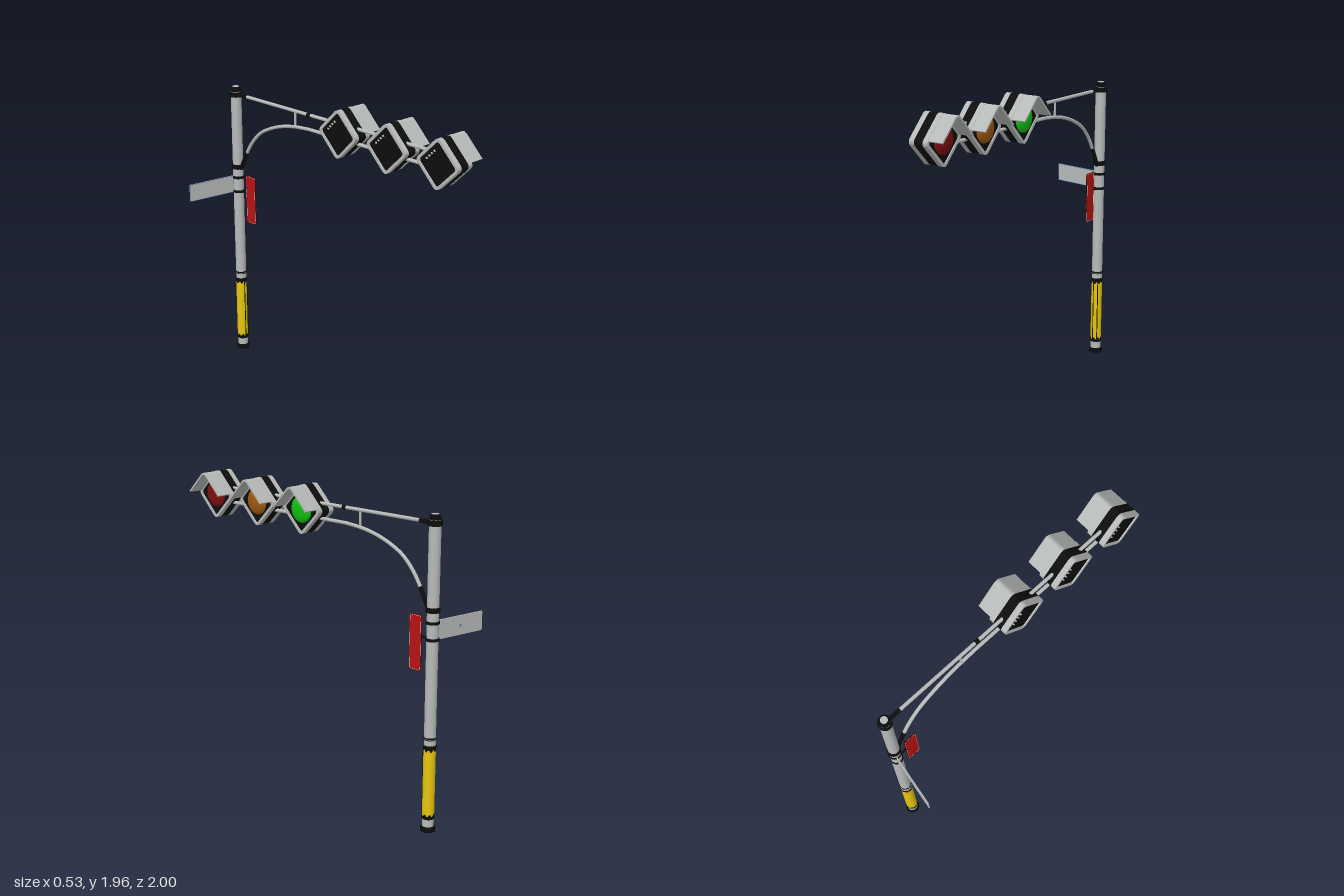
import * as THREE from 'three';

const mat = (name, hex) => {
  const m = new THREE.MeshStandardMaterial({ color: hex });
  m.name = name;
  return m;
};

const PX = 0.1, PZ = -0.93; // pole axis

export function createModel() {
  const grey = mat('light grey', 0xb6bab8), black = mat('black', 0x0c0d0c);
  const yellow = mat('yellow', 0xe6c60e), signRed = mat('sign red', 0xb81212);
  const white = mat('white', 0xe4e4e4), blue = mat('blue', 0x5a78b8);
  const redLens = mat('red lens', 0x801010), amberLens = mat('amber lens', 0xa05a10);
  const greenLens = mat('green lens', 0x12c412);

  const root = new THREE.Group();
  root.name = 'trafficSignal';
  const add = (parent, name, geo, material, x = 0, y = 0, z = 0) => {
    const m = new THREE.Mesh(geo, material);
    m.name = name;
    m.position.set(x, y, z);
    parent.add(m);
    return m;
  };

  // ---- Pole: stacked cylinders ----
  const pole = new THREE.Group();
  pole.name = 'pole';
  pole.position.set(PX, 0, PZ);
  root.add(pole);
  const ring = (name, y0, y1, r, material, rTop = r) =>
    add(pole, name, new THREE.CylinderGeometry(rTop, r, y1 - y0, 32), material, 0, (y0 + y1) / 2, 0);
  ring('poleShaft', 0.002, 1.87, 0.035, grey);
  ring('baseCollar', 0, 0.022, 0.045, black);
  ring('baseCollarTop', 0.022, 0.032, 0.045, black, 0.039);
  ring('poleFoot', -0.0005, 0.002, 0.033, grey);
  ring('yellowWrap', 0.1, 0.525, 0.0365, yellow);
  ring('thinBandLower', 0.576, 0.581, 0.0365, black);
  ring('thinBandUpper', 0.584, 0.592, 0.0365, black);
  ring('signClampLower', 1.173, 1.19, 0.04, black);
  ring('signClampUpper', 1.272, 1.289, 0.04, black);
  ring('armClampLower', 1.34, 1.37, 0.042, black);
  ring('armClampUpper', 1.835, 1.868, 0.042, black);
  ring('topCap', 1.868, 1.89, 0.035, black, 0.033);
  ring('topCapRim', 1.89, 1.9, 0.033, black, 0.027);
  ring('topDisc', 1.9, 1.902, 0.022, grey);

  // zigzag-edged bands at both ends of the yellow wrap
  const zigzag = (y0, y1, side) => {
    const g = new THREE.CylinderGeometry(0.038, 0.038, y1 - y0, 48, 1, true);
    const p = g.attributes.position;
    for (let i = 0; i < p.count; i++) {
      if (Math.sign(p.getY(i)) === side && (i % 49) % 6 < 3) p.setY(i, p.getY(i) + side * 0.012);
    }
    const band = add(pole, 'zigzagBand', g, black, 0, (y0 + y1) / 2, 0);
    return band;
  };
  zigzag(0.08, 0.1, 1);
  zigzag(0.518, 0.545, -1);
  for (const dx of [-0.004, 0.024]) {
    add(pole, 'wrapSeam', new THREE.BoxGeometry(0.005, 0.42, 0.004), black,
      dx, 0.31, Math.sqrt(0.0365 ** 2 - dx * dx));
  }

  // ---- Arm: straight upper tube, curved lower tube ----
  const v = (z, y) => new THREE.Vector3(PX, y, z);
  const rod = (name, a, b, r, material) => {
    const m = add(root, name, new THREE.CylinderGeometry(r, r, a.distanceTo(b), 16), material);
    m.position.copy(a).add(b).multiplyScalar(0.5);
    m.quaternion.setFromUnitVectors(new THREE.Vector3(0, 1, 0), b.clone().sub(a).normalize());
  };
  rod('upperArm', v(PZ, 1.85), v(0.85, 1.85), 0.011, grey);
  rod('upperArmSocket', v(-0.9, 1.85), v(-0.82, 1.85), 0.013, black);
  rod('upperArmJoint', v(-0.255, 1.85), v(-0.227, 1.85), 0.0135, black);
  rod('armStrut', v(-0.367, 1.75), v(-0.367, 1.85), 0.007, grey);
  rod('lowerArm', v(-0.25, 1.757), v(0.85, 1.757), 0.011, grey);
  const bend = new THREE.CatmullRomCurve3([
    v(-0.25, 1.757), v(-0.38, 1.745), v(-0.5, 1.72), v(-0.61, 1.68),
    v(-0.7, 1.63), v(-0.78, 1.55), v(-0.835, 1.465), v(-0.865, 1.405)]);
  add(root, 'lowerArmBend', new THREE.TubeGeometry(bend, 48, 0.011, 16), grey);
  rod('lowerArmSocket', v(-0.832, 1.47), v(-0.902, 1.34), 0.0135, black);

  // ---- Signal heads: diamond housings facing local +z ----
  const diamond = (h, t, Type = THREE.Shape) => {
    const s = new Type(), k = t / Math.SQRT2;
    const c = [[0, h], [-h, 0], [0, -h], [h, 0]];
    c.forEach(([x, y], i) => {
      const [px, py] = c[(i + 3) % 4], [nx, ny] = c[(i + 1) % 4];
      const f = k / h;
      const ax = x + (px - x) * f, ay = y + (py - y) * f;
      if (i === 0) s.moveTo(ax, ay); else s.lineTo(ax, ay);
      s.quadraticCurveTo(x, y, x + (nx - x) * f, y + (ny - y) * f);
    });
    s.closePath();
    return s;
  };
  const extrude = (shape, z0, z1) => {
    const g = new THREE.ExtrudeGeometry(shape, { depth: z1 - z0, bevelEnabled: false, curveSegments: 8 });
    return g.translate(0, 0, z0);
  };
  const frameShape = diamond(0.1625, 0.035);
  frameShape.holes.push(diamond(0.138, 0.02, THREE.Path));
  const frontFrame = extrude(frameShape, 0.03, 0.063);
  const backFrame = extrude(frameShape, -0.065, -0.03);
  const body = extrude(diamond(0.1615, 0.035), -0.03, 0.03);
  const core = extrude(diamond(0.139, 0.02), -0.056, 0.056);

  // visor: inverted V with a rounded ridge
  const visorShape = new THREE.Shape();
  visorShape.moveTo(0.143, 0.017);
  visorShape.lineTo(0.025, 0.135);
  visorShape.quadraticCurveTo(0, 0.16, -0.025, 0.135);
  visorShape.lineTo(-0.143, 0.017);
  visorShape.lineTo(-0.135, 0.01);
  visorShape.lineTo(-0.02, 0.125);
  visorShape.quadraticCurveTo(0, 0.145, 0.02, 0.125);
  visorShape.lineTo(0.135, 0.01);
  visorShape.closePath();
  const visor = extrude(visorShape, 0.06, 0.16);
  const lens = new THREE.SphereGeometry(0.083, 40, 12, 0, Math.PI * 2, 0, Math.PI / 2)
    .scale(1, 0.36, 1).rotateX(Math.PI / 2);

  [[0.85, redLens], [0.46, amberLens], [0.065, greenLens]].forEach(([z, lensMat]) => {
    const head = new THREE.Group();
    head.name = 'signalHead';
    head.position.set(PX, 1.805, z);
    head.rotation.y = Math.PI / 2;
    root.add(head);
    add(head, 'frontFrame', frontFrame, grey);
    add(head, 'backFrame', backFrame, grey);
    add(head, 'housing', body, black);
    add(head, 'housingCore', core, black);
    add(head, 'visor', visor, grey);
    add(head, 'lens', lens, lensMat, 0, 0, 0.055);
    for (let i = 0; i < 4; i++) { // rear vents
      const vent = add(head, 'vent', new THREE.BoxGeometry(0.012, 0.005, 0.012), grey,
        0.025 + i * 0.018, 0.075 - i * 0.018, -0.06);
      vent.rotation.z = Math.PI / 4;
    }
  });

  // ---- Signs ----
  const rounded = (w, h, r, Type = THREE.Shape) => {
    const s = new Type(), x = w / 2, y = h / 2;
    s.moveTo(-x + r, -y);
    s.lineTo(x - r, -y); s.quadraticCurveTo(x, -y, x, -y + r);
    s.lineTo(x, y - r); s.quadraticCurveTo(x, y, x - r, y);
    s.lineTo(-x + r, y); s.quadraticCurveTo(-x, y, -x, y - r);
    s.lineTo(-x, -y + r); s.quadraticCurveTo(-x, -y, -x + r, -y);
    return s;
  };
  const border = (w, h, r, t) => {
    const s = rounded(w, h, r);
    s.holes.push(rounded(w - 2 * t, h - 2 * t, r * 0.7, THREE.Path));
    return s;
  };

  // upright red sign, red on both faces
  const redSign = new THREE.Group();
  redSign.name = 'redSign';
  redSign.position.set(PX + 0.003, 1.14, -0.808);
  redSign.rotation.y = Math.PI / 2;
  root.add(redSign);
  add(redSign, 'redSignPlate', extrude(rounded(0.088, 0.33, 0.012), -0.003, 0.003), black);
  add(redSign, 'redSignFaces', extrude(rounded(0.088, 0.33, 0.012), -0.0036, -0.003), signRed);
  add(redSign, 'redSignFaces', extrude(rounded(0.088, 0.33, 0.012), 0.003, 0.0036), signRed);
  for (const z of [-0.0042, 0.0036])
    add(redSign, 'redSignBorder', extrude(border(0.082, 0.324, 0.01, 0.0015), z, z + 0.0006), white);
  rod('redSignBracket', v(-0.9, 1.181), v(-0.848, 1.181), 0.007, black);

  // slanted grey street sign
  const streetSign = new THREE.Group();
  streetSign.name = 'streetSign';
  streetSign.position.set(-0.098, 1.233, -0.97);
  streetSign.rotation.y = -0.163;
  root.add(streetSign);
  add(streetSign, 'streetSignPlate', extrude(rounded(0.338, 0.116, 0.005), -0.003, 0.003), grey);
  add(streetSign, 'streetSignBorder', extrude(border(0.338, 0.116, 0.005, 0.003), 0.003, 0.004), blue);
  add(streetSign, 'streetSignDot', new THREE.CylinderGeometry(0.008, 0.008, 0.001, 16).rotateX(Math.PI / 2),
    blue, 0, 0, -0.0034);

  return root;
}
